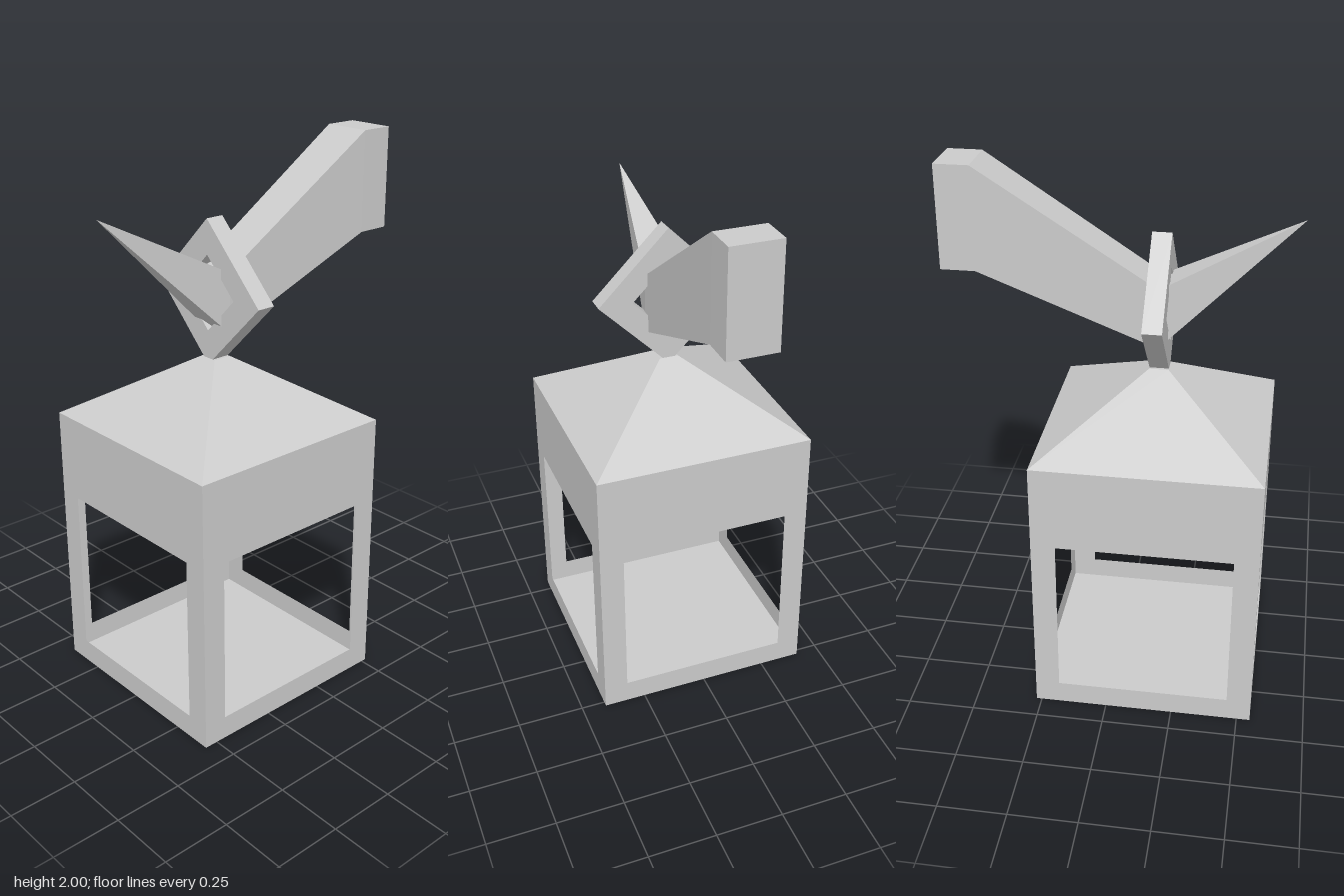
import * as THREE from 'three';

const CX = -0.14;      // lantern axis in x
const HALF = 0.41;     // half width of the lantern body
const WALL_TOP = 1.03;
const ROOF_TOP = 1.265;

const solid = new THREE.MeshStandardMaterial({ color: 0xcccccc, flatShading: true });
const thin = new THREE.MeshStandardMaterial({ color: 0xcccccc, flatShading: true, side: THREE.DoubleSide });

function mesh(name, geometry, material, parent) {
  const m = new THREE.Mesh(geometry, material);
  m.name = name;
  parent.add(m);
  return m;
}

function polygon(points) {
  return points.map(([x, y]) => new THREE.Vector2(x, y));
}

// Sheet wall with a window opening, standing on y = 0
function wallGeometry() {
  const shape = new THREE.Shape(polygon([[-HALF, 0], [HALF, 0], [HALF, WALL_TOP], [-HALF, WALL_TOP]]));
  const w = 0.32;
  shape.holes.push(new THREE.Path(polygon([[-w, 0.087], [-w, 0.712], [w, 0.712], [w, 0.087]])));
  return new THREE.ShapeGeometry(shape);
}

// Diamond ring lying across the x axis
function ringGeometry() {
  const diamond = (r) => polygon([[r, 0], [0, r], [-r, 0], [0, -r]]);
  const shape = new THREE.Shape(diamond(0.264));
  shape.holes.push(new THREE.Path(diamond(0.137).reverse()));
  const depth = 0.07;
  return new THREE.ExtrudeGeometry(shape, { depth, bevelEnabled: false })
    .translate(0, 0, -depth / 2)
    .rotateY(Math.PI / 2);
}

// Rectangular sections [x, low y, high y, half width] joined along x
function loftGeometry(sections) {
  const positions = [];
  const index = [];
  sections.forEach(([x, lo, hi, w], i) => {
    positions.push(x, lo, w, x, hi, w, x, hi, -w, x, lo, -w);
    if (i === 0) return;
    for (let k = 0; k < 4; k++) {
      const n = (k + 1) % 4;
      const a = (i - 1) * 4 + k, b = (i - 1) * 4 + n;
      const c = i * 4 + n, d = i * 4 + k;
      index.push(a, d, c, a, c, b);
    }
  });
  const e = (sections.length - 1) * 4;
  index.push(e, e + 3, e + 2, e, e + 2, e + 1);
  const g = new THREE.BufferGeometry();
  g.setAttribute('position', new THREE.Float32BufferAttribute(positions, 3));
  g.setIndex(index);
  const flat = g.toNonIndexed();
  flat.computeVertexNormals();
  return flat;
}

export function createModel() {
  const model = new THREE.Group();
  model.name = 'hangingLantern';

  // Lantern body
  const lantern = new THREE.Group();
  lantern.name = 'lantern';
  lantern.position.x = CX;
  model.add(lantern);

  const wall = wallGeometry();
  ['frontWall', 'leftWall', 'backWall', 'rightWall'].forEach((name, i) => {
    const angle = (i * Math.PI) / 2;
    const m = mesh(name, wall, thin, lantern);
    m.rotation.y = angle;
    m.position.set(Math.sin(angle) * HALF, 0, Math.cos(angle) * HALF);
  });

  const plate = new THREE.PlaneGeometry(HALF * 2, HALF * 2).rotateX(-Math.PI / 2);
  mesh('floor', plate, thin, lantern).position.y = 0.003;
  mesh('ceiling', plate, thin, lantern).position.y = 0.79;

  // Four-sided roof with a small flat top
  const roof = new THREE.CylinderGeometry(0.035 * Math.SQRT2, HALF * Math.SQRT2, ROOF_TOP - WALL_TOP, 4)
    .rotateY(Math.PI / 4);
  mesh('roof', roof, solid, lantern).position.y = (WALL_TOP + ROOF_TOP) / 2;

  // Hanging ring
  mesh('hangingRing', ringGeometry(), solid, lantern).position.y = 1.505;

  // Bracket: pointed spike, bend through the ring, widening arm, block end
  mesh('hookArm', loftGeometry([
    [-0.627, 1.837, 1.837, 0],
    [CX, 1.367, 1.588, 0.078],
    [0.5, 1.625, 2.0, 0.092],
    [0.625, 1.625, 2.0, 0.092],
  ]), solid, model);

  return model;
}
